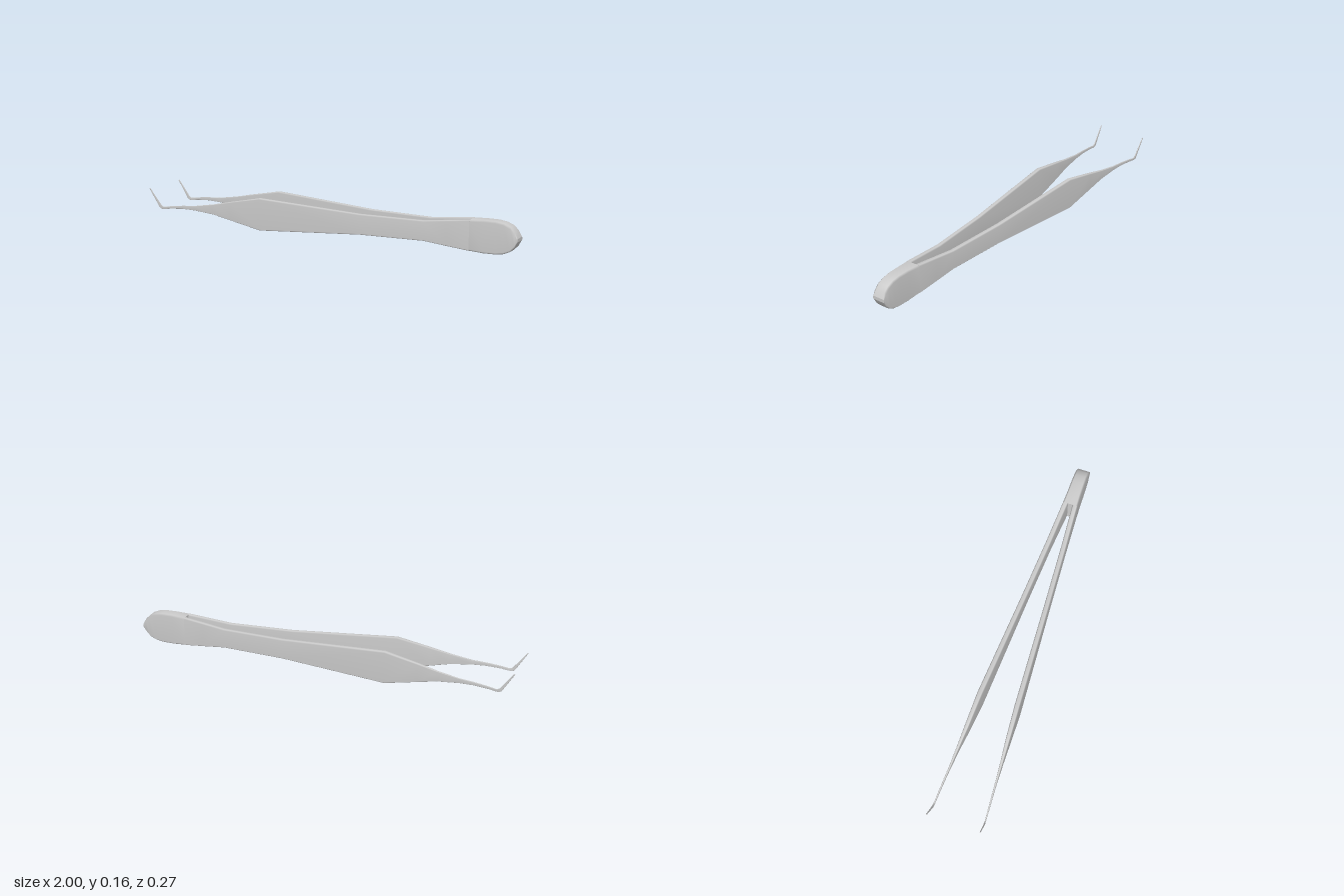
import * as THREE from 'three';

const steel = new THREE.MeshStandardMaterial({ color: 0xcccccc, side: THREE.DoubleSide });

// Bevelled rectangular ring. Section: [xLow, yLow, xHigh, yHigh, zInner, zOuter]
function ring([xl, yl, xh, yh, zi, zo], side) {
  const h = Math.hypot(xh - xl, yh - yl), w = zo - zi;
  const b = Math.min(0.008, 0.2 * h, 0.2 * w);
  const t = b / h, u = b / w;
  const corners = [[0, u], [t, 0], [1 - t, 0], [1, u], [1, 1 - u], [1 - t, 1], [t, 1], [0, 1 - u]];
  return corners.map(([p, q]) => [xl + (xh - xl) * p, yl + (yh - yl) * p, side * (zi + w * q)]);
}

// Skins a list of sections running towards +x, with sharp end caps
function loft(name, sections, side = 1) {
  const rings = sections.map((s) => ring(s, side));
  const n = 8, last = rings.length - 1;
  const pos = rings.flat(2), idx = [];
  const tri = (a, b, c) => (side > 0 ? idx.push(a, b, c) : idx.push(a, c, b));
  for (let i = 0; i < last; i++) {
    for (let j = 0; j < n; j++) {
      const k = (j + 1) % n;
      const a = i * n + j, b = i * n + k, c = b + n, d = a + n;
      tri(a, b, c);
      tri(a, c, d);
    }
  }
  for (const end of [0, last]) {
    const base = pos.length / 3;
    pos.push(...rings[end].flat());
    for (let j = 1; j < n - 1; j++) {
      if (end) tri(base, base + j, base + j + 1);
      else tri(base, base + j + 1, base + j);
    }
  }
  const geo = new THREE.BufferGeometry();
  geo.setAttribute('position', new THREE.Float32BufferAttribute(pos, 3));
  geo.setIndex(idx);
  geo.computeVertexNormals();
  const mesh = new THREE.Mesh(geo, steel);
  mesh.name = name;
  return mesh;
}

// Upright section at x
const at = (x, yl, yh, zi, zo) => [x, yl, x, yh, zi, zo];

export function createModel() {
  const group = new THREE.Group();
  group.name = 'tweezers';

  // Arm from the hooked tip to the joint
  const arm = [
    [-1, 0.161, -0.996, 0.164, 0.132, 0.136],
    [-0.943, 0.071, -0.93, 0.079, 0.129, 0.134],
    [-0.933, 0.061, -0.92, 0.073, 0.128, 0.134],
    [-0.918, 0.059, -0.91, 0.072, 0.127, 0.133],
    [-0.87, 0.066, -0.87, 0.079, 0.124, 0.131],
    at(-0.8, 0.071, 0.087, 0.119, 0.127),
    at(-0.73, 0.069, 0.092, 0.114, 0.123),
    at(-0.62, 0.058, 0.11, 0.105, 0.119),
    at(-0.52, 0.037, 0.132, 0.095, 0.116),
    at(-0.35, 0.001, 0.166, 0.083, 0.11),
    at(0.2, 0.033, 0.135, 0.049, 0.075),
    at(0.53, 0.035, 0.134, 0.028, 0.054),
    at(0.65, 0.021, 0.147, 0.02, 0.046),
    at(0.76, 0.009, 0.159, 0.012, 0.039),
  ];
  group.add(loft('leftArm', arm, 1), loft('rightArm', arm, -1));

  // Solid rounded handle end where the arms join
  const butt = [
    [0.76, 0.009, 0.159, 0.039],
    [0.83, 0.004, 0.163, 0.036],
    [0.89, 0.005, 0.163, 0.035],
    [0.93, 0.011, 0.157, 0.034],
    [0.963, 0.025, 0.143, 0.034],
    [0.985, 0.047, 0.121, 0.033],
    [1, 0.076, 0.092, 0.033],
  ].map(([x, yl, yh, z]) => at(x, yl, yh, -z, z));
  group.add(loft('handleEnd', butt));

  return group;
}
